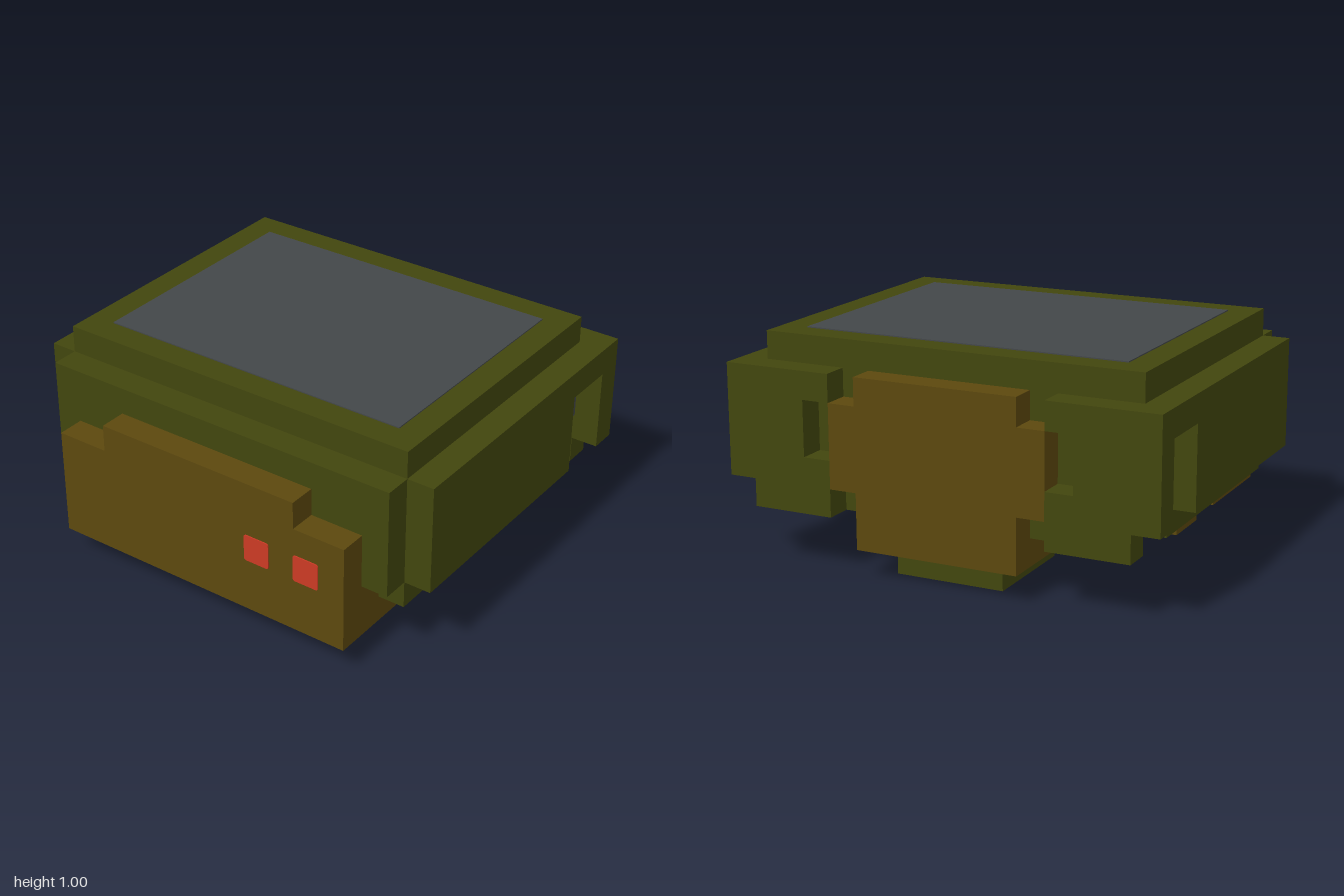
import * as THREE from 'three';

const U = 0.125; // block unit
const mat = (name, color) => {
  const m = new THREE.MeshStandardMaterial({ color });
  m.name = name;
  return m;
};

export function createModel() {
  const model = new THREE.Group();
  const green = mat('olive green', 0x42460e);
  const brown = mat('brown', 0x5c480e);
  const grey = mat('slate grey', 0x434749);
  const red = mat('red', 0xcc3a24);

  // Box from min/max corners given in block units
  const box = (name, material, x0, x1, y0, y1, z0, z1) => {
    const g = new THREE.BoxGeometry((x1 - x0) * U, (y1 - y0) * U, (z1 - z0) * U);
    g.translate((x0 + x1) / 2 * U, (y0 + y1) / 2 * U, (z0 + z1) / 2 * U);
    const mesh = new THREE.Mesh(g, material);
    mesh.name = name;
    model.add(mesh);
    return mesh;
  };
  // Same box on both sides of x = 0
  const pair = (name, material, x0, x1, ...rest) => {
    box(name + 'Left', material, x0, x1, ...rest);
    box(name + 'Right', material, -x1, -x0, ...rest);
  };
  const T = 0.04; // thin plate, 0.005 in model size

  // Main shell
  box('bodyCore', green, -6, 6, 2, 7, -6, 5);
  box('topCap', green, -7, 7, 7, 8, -6, 5);
  box('topPanel', grey, -6, 6, 8, 8 + T, -5, 4);
  box('frontShell', green, -7, 7, 3, 7, 5, 6);

  // Side walls with a slot near the back
  pair('innerSide', green, 6, 7, 2, 7, -4, 5);
  pair('slotBacking', green, 6, 7, 4, 7, -6, -4);
  pair('outerSide', green, 7, 8, 3, 7, -4, 5);
  pair('slotLintel', green, 7, 8, 6, 7, -6, -4);
  pair('slotWindow', grey, 7, 7 + T, 4, 6, -6, -4);

  // Rear corners, notched on the inside
  pair('rearCornerOuter', green, 7, 8, 3, 7, -7, -6);
  pair('rearCorner', green, 5, 7, 2, 7, -7, -6);
  pair('rearNotchTop', green, 4, 5, 6, 7, -7, -6);
  pair('rearNotchBottom', green, 4, 5, 2, 4, -7, -6);

  // Rear brown panel with side arms and a shelf underneath
  box('rearPanel', brown, -3, 3, 1, 7, -7, -6);
  pair('rearArm', brown, 3, 4, 3, 6, -7, -6);
  box('rearShelf', brown, -3, 3, 1, 2, -6, -3);
  box('rearFootTop', green, -2, 2, 1, 2, -3, -2);
  box('rearFoot', green, -2, 2, 0, 1, -6, -2);

  // Front brown face plate and foot
  box('facePlate', brown, -6, 6, 1, 5, 6, 7);
  box('faceBrow', brown, -4, 4, 5, 6, 6, 7);
  box('chin', brown, -6, 6, 1, 3, 5, 6);
  box('chinShelf', brown, -6, 6, 1, 2, 3, 5);
  box('frontFoot', brown, -5, 5, 0, 1, 2, 4);
  box('frontFootBack', brown, -5, 5, 1, 2, 2, 3);

  // Two softly rounded eyes
  const r = 0.012;
  const s = new THREE.Shape();
  s.moveTo(r, 0).lineTo(U - r, 0).quadraticCurveTo(U, 0, U, r);
  s.lineTo(U, U - r).quadraticCurveTo(U, U, U - r, U);
  s.lineTo(r, U).quadraticCurveTo(0, U, 0, U - r);
  s.lineTo(0, r).quadraticCurveTo(0, 0, r, 0);
  const eyeGeo = new THREE.ExtrudeGeometry(s, { depth: 0.005, bevelEnabled: false, curveSegments: 4 });
  for (const [name, x] of [['innerEye', 2], ['outerEye', 4]]) {
    const eye = new THREE.Mesh(eyeGeo, red);
    eye.name = name;
    eye.position.set(x * U, 3 * U, 7 * U);
    model.add(eye);
  }
  return model;
}
